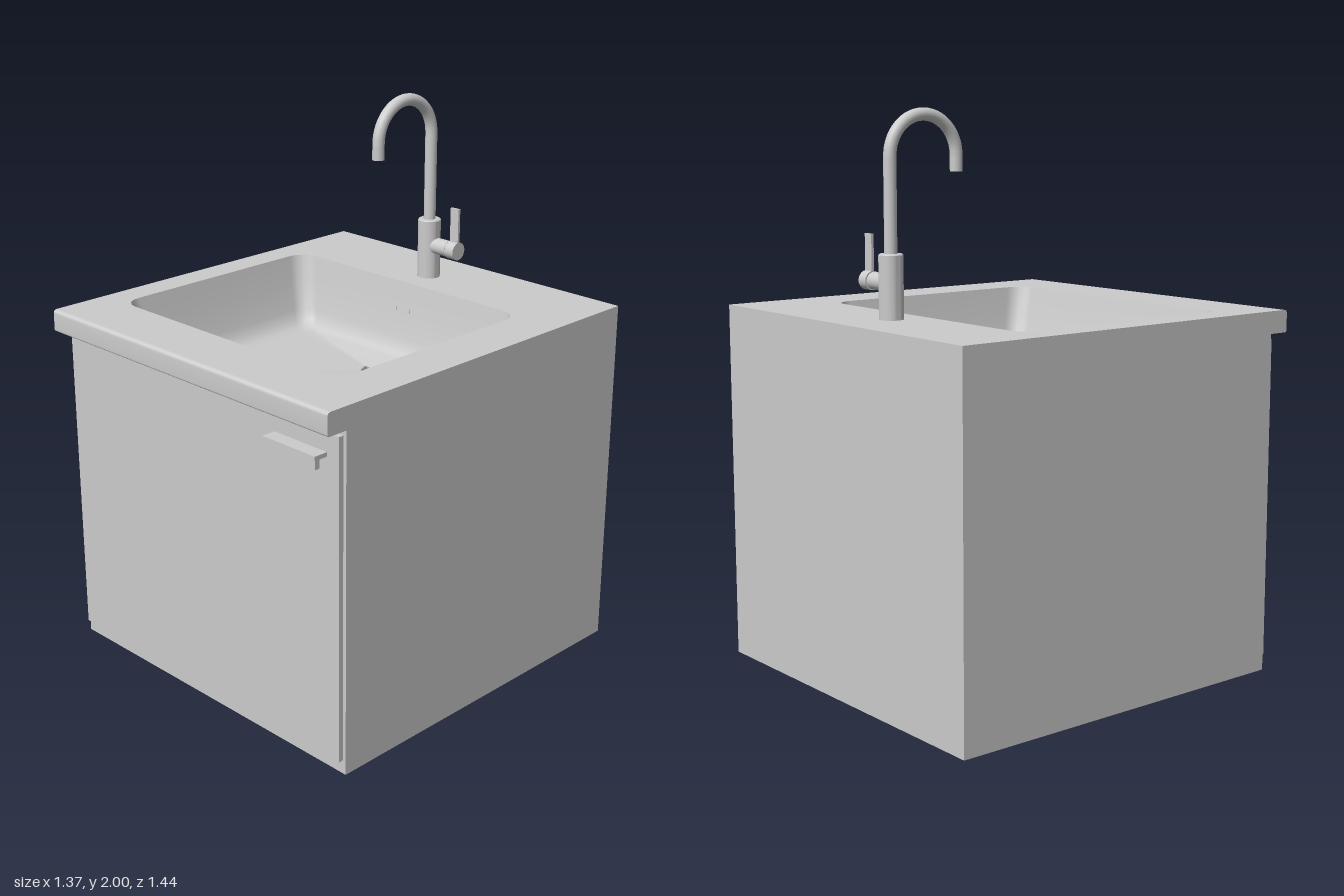
import * as THREE from 'three';
import { toCreasedNormals } from 'three/addons/utils/BufferGeometryUtils.js';

const grey = new THREE.MeshStandardMaterial({ color: 0xcccccc });
const greyDouble = new THREE.MeshStandardMaterial({ color: 0xcccccc, side: THREE.DoubleSide });

const W = 1.37, TOP = 1.3, BACK = -0.72, BODY_FRONT = 0.64, LIP_FRONT = 0.72;
const DRAIN = { x: -0.017, z: -0.197, r: 0.04, y: 1.012 };

function add(parent, name, geometry, x = 0, y = 0, z = 0, material = grey) {
  const mesh = new THREE.Mesh(geometry, material);
  mesh.name = name;
  mesh.position.set(x, y, z);
  parent.add(mesh);
  return mesh;
}

// Extrude a (z, y) side profile along x, centred on x = 0
function extrudeAcross(shape, width) {
  const geo = new THREE.ExtrudeGeometry(shape, { depth: width, bevelEnabled: false, curveSegments: 6 });
  return geo.rotateY(-Math.PI / 2).translate(width / 2, 0, 0).applyMatrix4(new THREE.Matrix4());
}

// Rounded rectangular loop of [x, z] points for the basin; t runs from rim (0) to floor (1)
function basinLoop(t) {
  const x0 = -0.58 + 0.125 * t, x1 = 0.505 - 0.105 * t;
  const z0 = -0.39 + 0.09 * t, z1 = 0.495 - 0.14 * t;
  const r = 0.07 - 0.02 * t, n = 4, pts = [];
  const corners = [[x1 - r, z1 - r], [x0 + r, z1 - r], [x0 + r, z0 + r], [x1 - r, z0 + r]];
  corners.forEach(([cx, cz], k) => {
    for (let i = 0; i <= n; i++) {
      const a = (k + i / n) * Math.PI / 2;
      pts.push([cx + r * Math.cos(a), cz + r * Math.sin(a)]);
    }
  });
  return pts;
}

// Join a list of equal-length closed loops of [x, y, z] points
function loft(loops) {
  const n = loops[0].length, index = [];
  for (let j = 0; j < loops.length - 1; j++) {
    for (let i = 0; i < n; i++) {
      const a = j * n + i, b = j * n + (i + 1) % n;
      index.push(a, b, a + n, b, b + n, a + n);
    }
  }
  const geo = new THREE.BufferGeometry();
  geo.setAttribute('position', new THREE.Float32BufferAttribute(loops.flat(2), 3));
  geo.setIndex(index);
  geo.computeVertexNormals();
  return geo;
}

// Cabinet with overhanging front lip, its top left open for the basin
function cabinetGeometry() {
  const s = new THREE.Shape();
  s.moveTo(BACK, 0);
  s.lineTo(BODY_FRONT, 0);
  s.lineTo(BODY_FRONT, 1.22);
  s.lineTo(LIP_FRONT - 0.008, 1.22);
  s.quadraticCurveTo(LIP_FRONT, 1.22, LIP_FRONT, 1.228);
  s.lineTo(LIP_FRONT, TOP - 0.015);
  s.quadraticCurveTo(LIP_FRONT, TOP, LIP_FRONT - 0.015, TOP);
  s.lineTo(BACK, TOP);
  s.closePath();
  const geo = extrudeAcross(s, W);
  const p = geo.attributes.position, kept = [];
  for (let i = 0; i < p.count; i += 3) {
    const isTop = [0, 1, 2].every(k => p.getY(i + k) > TOP - 1e-4);
    if (!isTop) for (let k = 0; k < 3; k++) kept.push(p.getX(i + k), p.getY(i + k), -(-p.getZ(i + k)));
  }
  const open = new THREE.BufferGeometry();
  open.setAttribute('position', new THREE.Float32BufferAttribute(kept, 3));
  open.computeVertexNormals();
  return toCreasedNormals(open, 0.5);
}

function buildBasin(group) {
  // Worktop surface with the basin opening
  const top = new THREE.Shape();
  const zf = LIP_FRONT - 0.015;
  top.moveTo(-W / 2, -zf);
  top.lineTo(W / 2, -zf);
  top.lineTo(W / 2, -BACK);
  top.lineTo(-W / 2, -BACK);
  top.closePath();
  top.holes.push(new THREE.Path(basinLoop(0).map(([x, z]) => new THREE.Vector2(x, -z))));
  add(group, 'worktop', new THREE.ShapeGeometry(top).rotateX(-Math.PI / 2), 0, TOP, 0);

  // Sloping walls, soft fillet and floor falling to the drain
  const steps = [[0, 1.3], [0.2, 1.2], [0.45, 1.1], [0.6, 1.065], [0.78, 1.045], [1, 1.035]];
  const loops = steps.map(([t, y]) => basinLoop(t).map(([x, z]) => [x, y, z]));
  loops.push(basinLoop(1).map(([x, z]) => {
    const dx = x - DRAIN.x, dz = z - DRAIN.z, k = DRAIN.r / Math.hypot(dx, dz);
    return [DRAIN.x + dx * k, DRAIN.y, DRAIN.z + dz * k];
  }));
  add(group, 'basin', loft(loops), 0, 0, 0, greyDouble);

  // Recessed drain
  const cup = [[0, -0.025], [DRAIN.r, -0.025], [DRAIN.r, 0.001]].map(p => new THREE.Vector2(...p));
  add(group, 'drain', toCreasedNormals(new THREE.LatheGeometry(cup, 28), 0.5), DRAIN.x, DRAIN.y, DRAIN.z, greyDouble);

  // Overflow slots in the back wall
  for (const x of [-0.08, -0.015]) {
    const slot = add(group, 'overflowSlot', new THREE.BoxGeometry(0.045, 0.014, 0.006), x, 1.2, -0.372);
    slot.rotation.x = -0.2;
  }
}

function buildDoor(group) {
  add(group, 'door', new THREE.BoxGeometry(1.345, 1.15, 0.018), 0, 0.625, BODY_FRONT + 0.009);
  // Hooked pull bar
  const s = new THREE.Shape([[0.655, 1.12], [0.69, 1.12], [0.69, 1.09], [0.71, 1.09], [0.71, 1.135], [0.655, 1.135]]
    .map(p => new THREE.Vector2(...p)));
  add(group, 'doorHandle', extrudeAcross(s, 0.235), 0.502, 0, 0);
}

function buildTap() {
  const tap = new THREE.Group();
  tap.name = 'tap';
  tap.position.set(-0.033, 0, -0.515);

  // Body with a slightly bevelled top
  const profile = [[0, 1.3], [0.042, 1.3], [0.042, 1.516], [0.038, 1.52], [0, 1.52]].map(p => new THREE.Vector2(...p));
  add(tap, 'tapBody', toCreasedNormals(new THREE.LatheGeometry(profile, 32), 0.5));

  // Gooseneck spout: riser, half circle, short drop
  const r = 0.138, cy = 1.84;
  const path = new THREE.CurvePath();
  const arc = [];
  for (let i = 0; i <= 16; i++) {
    const a = Math.PI * (1 - i / 16);
    arc.push(new THREE.Vector3(0, cy + r * Math.sin(a), r + r * Math.cos(a)));
  }
  const tip = new THREE.Vector3(0, 1.785, 2 * r);
  path.add(new THREE.LineCurve3(new THREE.Vector3(0, 1.5, 0), arc[0]));
  path.add(new THREE.CatmullRomCurve3(arc));
  path.add(new THREE.LineCurve3(arc[16], tip));
  add(tap, 'spout', new THREE.TubeGeometry(path, 72, 0.022, 20), 0, 0, 0, greyDouble);
  add(tap, 'spoutOutlet', new THREE.CircleGeometry(0.022, 20).rotateX(Math.PI / 2), 0, tip.y + 0.004, tip.z);

  // Side valve, end cap and flat lever
  const barrel = (name, x0, x1, radius) =>
    add(tap, name, new THREE.CylinderGeometry(radius, radius, x1 - x0, 28).rotateZ(Math.PI / 2), (x0 + x1) / 2, 1.422, 0);
  barrel('valve', 0.02, 0.1, 0.03);
  barrel('valveCap', 0.104, 0.144, 0.033);
  barrel('valveNeck', 0.09, 0.12, 0.025);
  add(tap, 'lever', new THREE.BoxGeometry(0.038, 0.17, 0.01), 0.125, 1.495, 0);
  return tap;
}

export function createModel() {
  const group = new THREE.Group();
  group.name = 'sinkCabinet';
  add(group, 'cabinet', cabinetGeometry());
  buildBasin(group);
  buildDoor(group);
  group.add(buildTap());
  return group;
}
